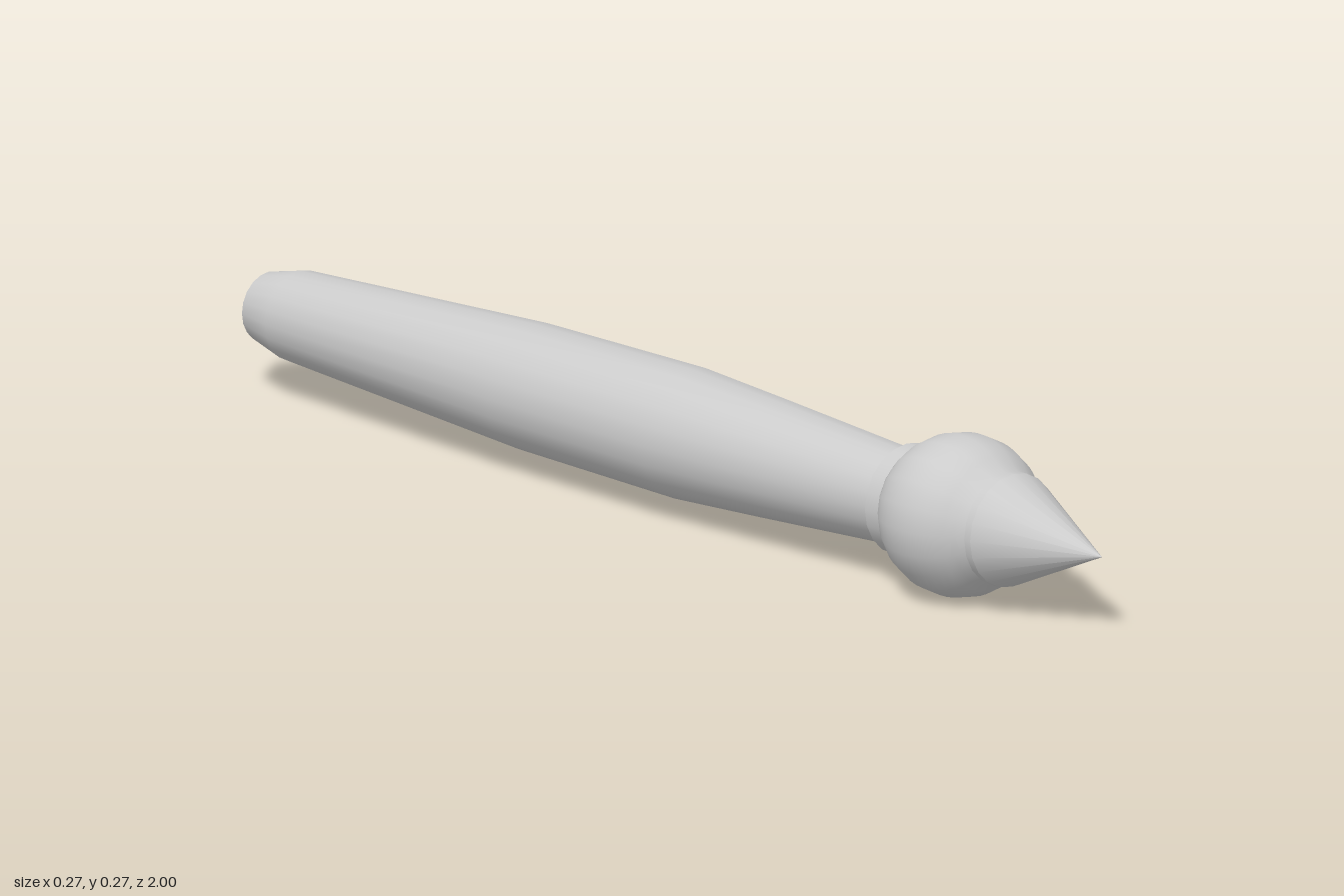
import * as THREE from 'three';

const SIDES = 20;
const AXIS_HEIGHT = 0.135;

export function createModel() {
  const model = new THREE.Group();
  model.name = 'turnedHandleTool';
  const material = new THREE.MeshStandardMaterial({ color: 0xcccccc });

  // Turned part around the z axis; profile is [radius, z] from back to front
  function turned(name, profile) {
    const points = profile.map(([r, z]) => new THREE.Vector2(r, z));
    const geometry = new THREE.LatheGeometry(points, SIDES);
    geometry.rotateX(Math.PI / 2);
    const mesh = new THREE.Mesh(geometry, material);
    mesh.name = name;
    mesh.position.y = AXIS_HEIGHT;
    model.add(mesh);
  }

  // Pointed butt of the handle
  turned('handleEnd', [[0, -1], [0.058, -0.963]]);

  // Long grip, thickest in the middle
  turned('handle', [
    [0.058, -0.963], [0.075, -0.89], [0.104, -0.34],
    [0.108, 0.03], [0.097, 0.23], [0.078, 0.545],
  ]);

  // Raised collar with crisp edges
  turned('collarBack', [[0.07, 0.54], [0.092, 0.54]]);
  turned('collar', [[0.092, 0.54], [0.092, 0.57]]);
  turned('collarFront', [[0.092, 0.57], [0.08, 0.57]]);

  // Round bulb narrowing to the tip
  const bulb = [];
  for (let i = 0; i <= 12; i++) {
    const a = THREE.MathUtils.lerp(-0.8, 0.72, i / 12);
    bulb.push([0.134 * Math.cos(a), 0.668 + 0.134 * Math.sin(a)]);
  }
  bulb.push([0.09, 0.776]);
  turned('bulb', bulb);

  // Tip: rim and cone
  turned('tipBack', [[0.08, 0.776], [0.094, 0.776]]);
  turned('tipRim', [[0.094, 0.776], [0.094, 0.79]]);
  turned('tip', [[0.094, 0.79], [0, 1]]);

  return model;
}
